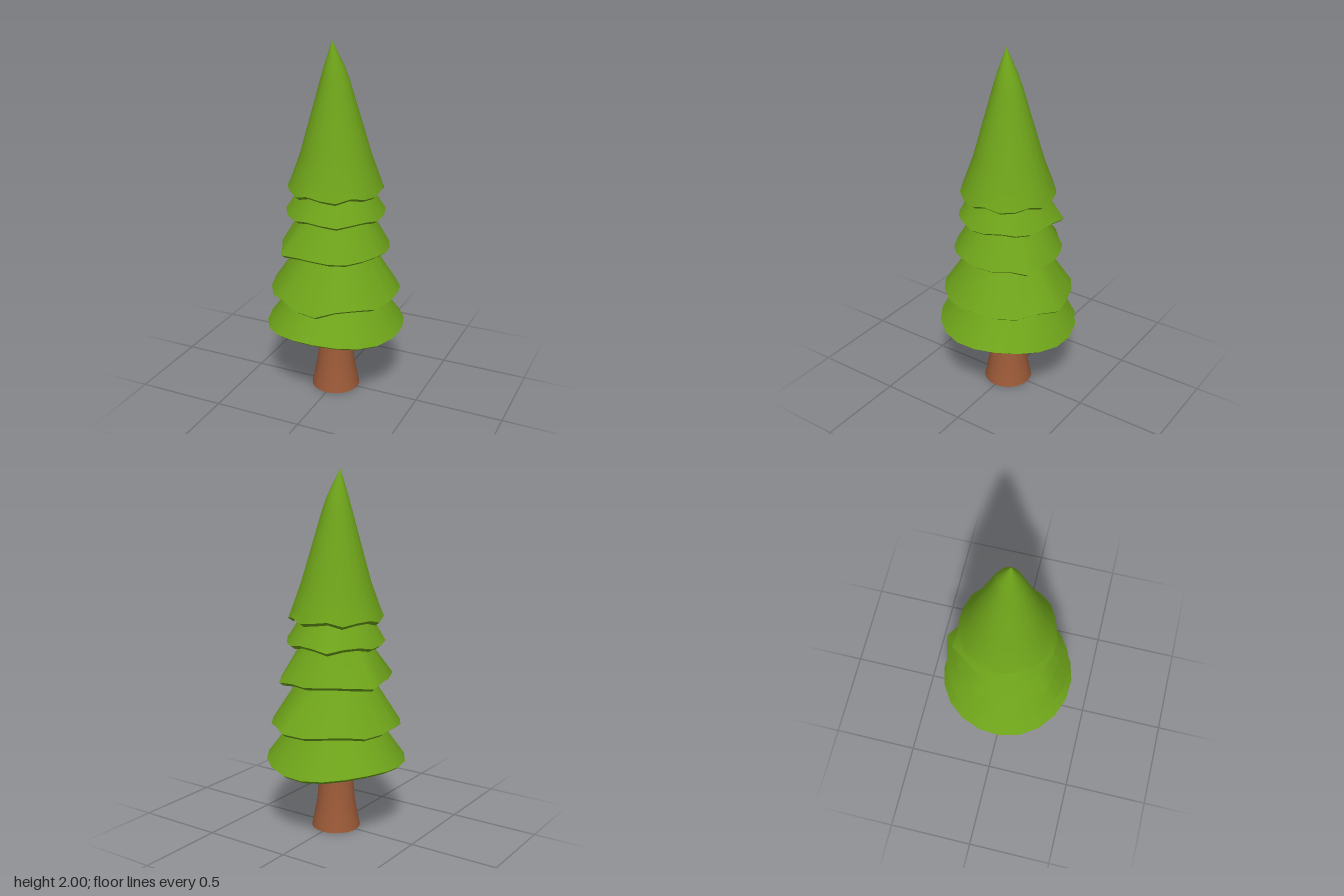
import * as THREE from 'three';
import { mergeGeometries } from 'three/addons/utils/BufferGeometryUtils.js';

const SIDES = 20;

// Smooth skin over closed rings of points
function loft(rings) {
  const index = [];
  for (let j = 0; j < rings.length - 1; j++) {
    for (let i = 0; i < SIDES; i++) {
      const a = j * SIDES + i, b = j * SIDES + (i + 1) % SIDES;
      index.push(a, a + SIDES, b, b, a + SIDES, b + SIDES);
    }
  }
  const g = new THREE.BufferGeometry();
  g.setAttribute('position', new THREE.Float32BufferAttribute(rings.flat(2), 3));
  g.setIndex(index);
  g.computeVertexNormals();
  return g;
}

// Ring of points; shift(i, angle) returns the change in radius and height
function ring(r, y, turn, shift = () => [0, 0], lean = 0) {
  return Array.from({ length: SIDES }, (_, i) => {
    const a = THREE.MathUtils.degToRad(turn + i * 360 / SIDES);
    const [dr, dy] = shift(i, a);
    return [Math.cos(a) * (r + dr) - lean * 0.6, y + dy, Math.sin(a) * (r + dr) + lean];
  });
}

// Hollow skirt of branches: outer skin, sharp wavy rim and inner skin
function tierGeometry({ turn, y, r, profile, wave, lift = 0, bumps = {}, dips = {} }) {
  const [amp, count, peak] = wave;
  const shift = (i, a) => [
    bumps[i] || 0,
    amp * Math.cos(count * (a - THREE.MathUtils.degToRad(peak))) + lift * Math.sin(a) + (dips[i] || 0),
  ];
  const lip = ring(r, y + 0.018, turn, shift);
  const under = ring(r - 0.024, y, turn, shift);
  const inner = ring(0.02, profile.at(-1)[1] - 0.08, turn);
  const upper = profile.map(([pr, py, lean]) => ring(pr, py, turn, undefined, lean));
  return mergeGeometries([loft([lip, ...upper]), loft([under, lip]), loft([inner, under])]);
}

// Tiers from bottom to top
// profile: radius, height, lean; wave: height, count, angle of a peak
const TIERS = [
  { turn: 12, y: 0.395, r: 0.39, wave: [0.013, 3, 90], lift: 0.014,
    profile: [[0.255, 0.6], [0.06, 0.88]] },
  { turn: 12, y: 0.605, r: 0.362, wave: [0.01, 6, 55],
    bumps: { 15: 0.035 }, dips: { 4: -0.025, 5: -0.025 },
    profile: [[0.2, 0.87], [0.06, 1.1]] },
  { turn: 1, y: 0.86, r: 0.3, wave: [0.006, 5, 95],
    bumps: { 7: 0.035, 11: 0.04, 17: 0.026 }, dips: { 17: -0.02 },
    profile: [[0.195, 1.06], [0.06, 1.3]] },
  { turn: 11, y: 1.06, r: 0.272, wave: [0.01, 6, 96], bumps: { 13: 0.035 },
    profile: [[0.207, 1.19], [0.06, 1.45]] },
  { turn: 12, y: 1.195, r: 0.262, wave: [0.013, 7, 97],
    profile: [[0.245, 1.255], [0.192, 1.4], [0.08, 1.79, 0.005], [0.056, 1.865, 0.008], [0.001, 2, 0.02]] },
];

export function createModel() {
  const tree = new THREE.Group();
  tree.name = 'pineTree';

  const green = new THREE.MeshStandardMaterial({ color: 0x6ea31a });
  const brown = new THREE.MeshStandardMaterial({ color: 0x9c5a38 });

  // Foliage
  const foliage = new THREE.Group();
  foliage.name = 'foliage';
  TIERS.forEach((tier, i) => {
    const mesh = new THREE.Mesh(tierGeometry(tier), green);
    mesh.name = `branchTier${i + 1}`;
    foliage.add(mesh);
  });
  tree.add(foliage);

  // Flared trunk with a flat base
  const trunkProfile = [[0.137, 0], [0.108, 0.15], [0.084, 0.41], [0.068, 0.8]]
    .map(([r, y]) => new THREE.Vector2(r, y));
  const base = new THREE.CircleGeometry(0.137, 24).rotateX(Math.PI / 2);
  const trunk = new THREE.Mesh(
    mergeGeometries([new THREE.LatheGeometry(trunkProfile, 24), base]), brown);
  trunk.name = 'trunk';
  tree.add(trunk);

  return tree;
}
